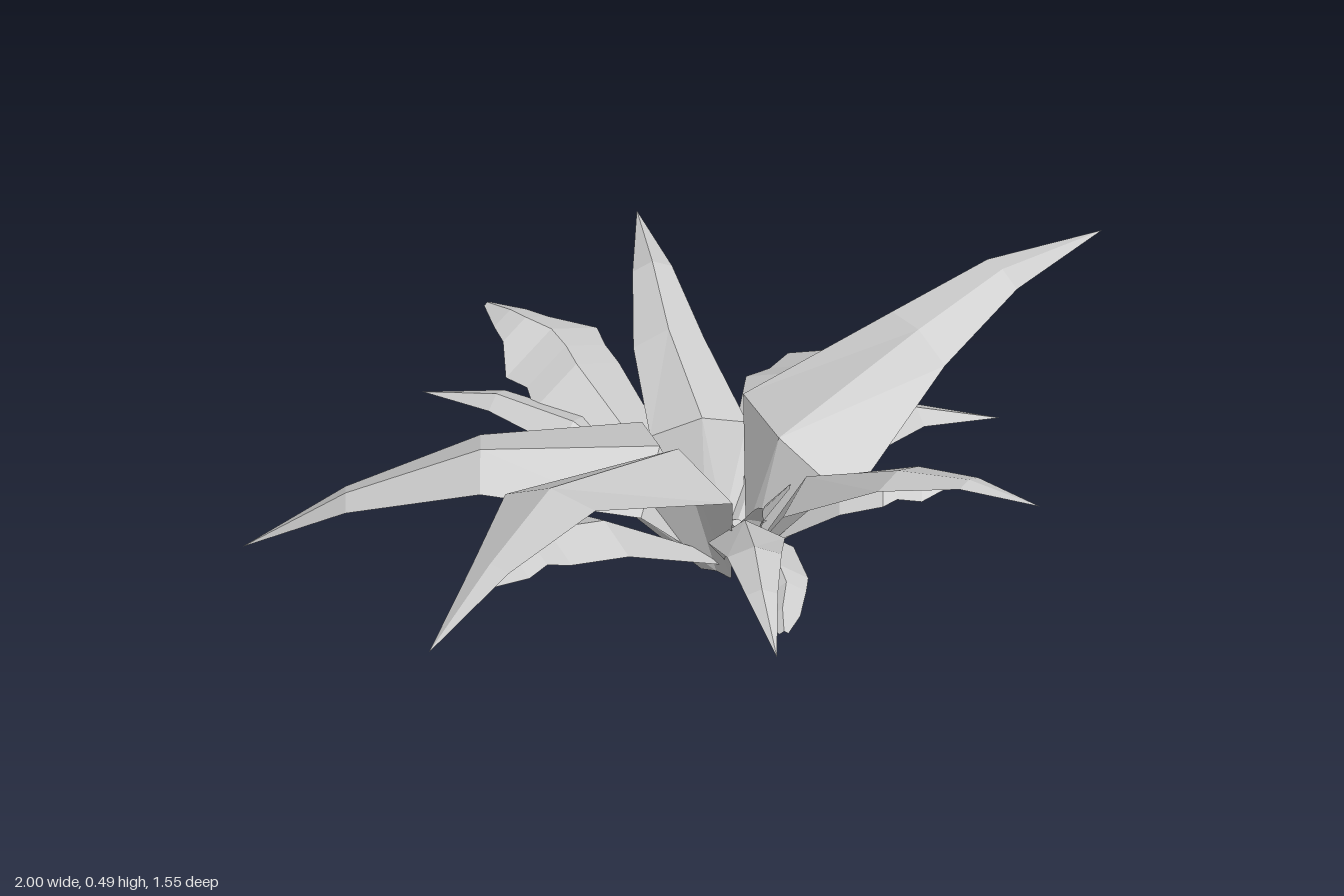
import * as THREE from 'three';

const material = new THREE.MeshStandardMaterial({
  color: 0xcccccc, flatShading: true, side: THREE.DoubleSide,
});

// Ridged leaf: each station is [x, y, z, halfWidth, sweep] along the midrib.
// sweep pushes both edges outward along the leaf, droop lowers them,
// roll lifts the right-hand edge and drops the other.
function leaf(name, stations, droop = 0.4, roll = 0) {
  const up = new THREE.Vector3(0, 1, 0);
  const points = stations.map(([x, y, z]) => new THREE.Vector3(x, y, z));
  const along = points[points.length - 1].clone().sub(points[0]).setY(0).normalize();
  const side = along.clone().cross(up);
  const vertices = [], index = [];
  points.forEach((p, i) => {
    const [, , , w, sweep = 0] = stations[i];
    for (const s of [-1, 0, 1]) {
      const v = p.clone().addScaledVector(side, s * w).addScaledVector(along, Math.abs(s) * sweep);
      v.y += w * (s * roll - Math.abs(s) * droop);
      vertices.push(v.x, Math.max(v.y, 0), v.z);
    }
    if (i === 0) return;
    for (let k = 0; k < 2; k++) {
      const a = (i - 1) * 3 + k, b = a + 3;
      index.push(a, a + 1, b + 1, a, b + 1, b);
    }
  });
  const indexed = new THREE.BufferGeometry();
  indexed.setAttribute('position', new THREE.Float32BufferAttribute(vertices, 3));
  indexed.setIndex(index);
  const geometry = indexed.toNonIndexed();
  geometry.computeVertexNormals();
  const mesh = new THREE.Mesh(geometry, material);
  mesh.name = name;
  return mesh;
}

export function createModel() {
  const plant = new THREE.Group();
  plant.name = 'plant';

  // Long arching blades
  plant.add(
    leaf('droopingBlade', [[-0.05, 0.02, 0.04, 0.03], [-0.15, 0.28, -0.02, 0.16, 0.04],
      [-0.53, 0.3, -0.13, 0.1], [-0.8, 0.18, -0.25, 0.045], [-1, 0.02, -0.36, 0]], 0.4, 0.12),
    leaf('frontRightBlade', [[-0.07, 0.01, 0.11, 0.04], [-0.17, 0.375, 0.135, 0.2, 0.08],
      [-0.55, 0.485, 0.32, 0.12], [-0.78, 0.475, 0.53, 0.05], [-1, 0.41, 0.71, 0]], 0.32, -0.2),
    leaf('frontLeftBlade', [[0.01, 0.02, 0.1, 0.03], [0.09, 0.3, 0.24, 0.13, 0.03],
      [0.2, 0.45, 0.5, 0.075], [0.31, 0.485, 0.64, 0.035], [0.425, 0.465, 0.77, 0]], 0.3, 0.1),
    leaf('leftBlade', [[0.05, 0.02, 0.04, 0.03], [0.12, 0.25, 0.01, 0.18, 0.05],
      [0.48, 0.4, -0.06, 0.09], [0.72, 0.435, -0.16, 0.05], [1, 0.4, -0.265, 0]], 0.27, -0.28),
    leaf('frontBlade', [[-0.01, 0.03, 0.12, 0.03], [-0.06, 0.23, 0.25, 0.085, 0.03],
      [-0.12, 0.3, 0.45, 0.06], [-0.16, 0.285, 0.59, 0.035], [-0.195, 0.22, 0.76, 0]], 0.4),
    leaf('backBlade', [[0.01, 0.02, -0.04, 0.04], [0, 0.24, -0.14, 0.11, 0.03],
      [0.02, 0.32, -0.38, 0.08], [0.06, 0.37, -0.57, 0.045], [0.11, 0.36, -0.78, 0]], 0.45),
  );

  // Short pointed blades low in the clump
  plant.add(
    leaf('lowLeftBlade', [[0.04, 0.05, 0.02, 0.02], [0.25, 0.21, 0, 0.08],
      [0.45, 0.24, 0, 0.05], [0.63, 0.19, 0.04, 0]]),
    leaf('lowBackBlade', [[-0.05, 0.05, -0.05, 0.02], [-0.26, 0.23, -0.25, 0.07],
      [-0.38, 0.24, -0.4, 0.045], [-0.51, 0.21, -0.51, 0]]),
  );

  // Broad leaves with notched tips
  plant.add(
    leaf('broadBackLeaf', [[-0.04, 0.02, -0.05, 0.03], [-0.15, 0.2, -0.22, 0.1],
      [-0.19, 0.27, -0.4, 0.13], [-0.19, 0.28, -0.46, 0.12], [-0.2, 0.29, -0.52, 0.14],
      [-0.24, 0.3, -0.57, 0.07], [-0.26, 0.3, -0.61, 0.05], [-0.29, 0.29, -0.67, 0.01]], 0.45),
    leaf('broadLeftLeaf', [[0.04, 0.03, -0.03, 0.03], [0.18, 0.2, -0.16, 0.09],
      [0.26, 0.23, -0.24, 0.12], [0.3, 0.22, -0.27, 0.09], [0.36, 0.22, -0.31, 0.09],
      [0.4, 0.2, -0.33, 0.05], [0.44, 0.18, -0.36, 0.01]]),
    leaf('broadRightLeaf', [[-0.06, 0.04, 0.09, 0.03], [-0.34, 0.22, 0.12, 0.1],
      [-0.48, 0.24, 0.13, 0.1], [-0.52, 0.22, 0.15, 0.055], [-0.57, 0.21, 0.17, 0.055],
      [-0.64, 0.18, 0.2, 0.01]]),
    leaf('notchedLeftLeaf', [[0.04, 0.03, 0.06, 0.02], [0.21, 0.18, 0.14, 0.06],
      [0.3, 0.21, 0.17, 0.07], [0.33, 0.19, 0.18, 0.04], [0.38, 0.19, 0.2, 0.045],
      [0.43, 0.18, 0.22, 0.01]], 0.6),
    leaf('notchedFrontLeaf', [[-0.01, 0.03, 0.08, 0.02], [-0.02, 0.2, 0.28, 0.06],
      [-0.04, 0.2, 0.4, 0.065], [-0.04, 0.18, 0.44, 0.045], [-0.07, 0.15, 0.49, 0.04],
      [-0.085, 0.12, 0.535, 0.01]], 0.7),
  );

  // Young leaves in the heart of the clump
  for (let i = 0; i < 3; i++) {
    const angle = i * 1.1 + 0.5;
    const c = Math.cos(angle), s = Math.sin(angle);
    plant.add(leaf('heartLeaf', [[0.02 * c, 0.03, 0.08 + 0.02 * s, 0.015],
      [0.05 * c, 0.14, 0.08 + 0.05 * s, 0.035], [0.11 * c, 0.21, 0.08 + 0.11 * s, 0.01]]));
  }
  return plant;
}
